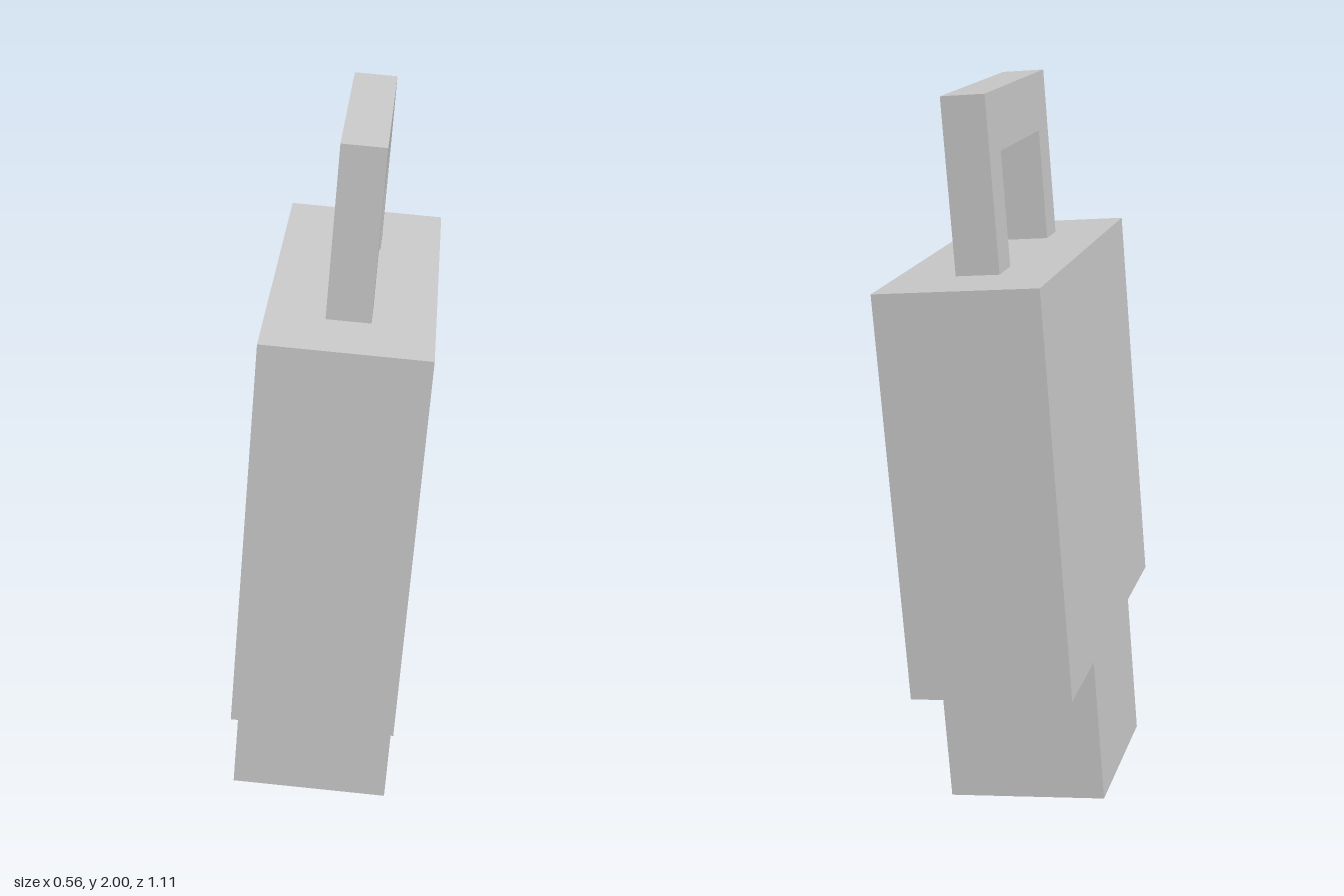
import * as THREE from 'three';

const material = new THREE.MeshStandardMaterial({ color: 0xcccccc, flatShading: true });

// Extrude a [z, y] outline across x, centred on x = 0
function slab(name, outline, width) {
  const shape = new THREE.Shape(outline.map(([z, y]) => new THREE.Vector2(z, y)));
  const geometry = new THREE.ExtrudeGeometry(shape, { depth: width, bevelEnabled: false });
  geometry.translate(0, 0, -width / 2);
  geometry.rotateY(-Math.PI / 2);
  const mesh = new THREE.Mesh(geometry, material);
  mesh.name = name;
  return mesh;
}

export function createModel() {
  const model = new THREE.Group();
  model.name = 'hangingBlock';

  // Everything leans slightly towards +x
  const leaning = new THREE.Group();
  leaning.name = 'leaningAssembly';
  leaning.position.set(-0.063, 0.018, 0);
  leaning.rotation.z = -0.081;
  model.add(leaning);

  // Wide body with a narrower foot below
  const body = slab('bodyWithFoot', [
    [-0.267, 0], [0.251, 0], [0.251, 0.408], [0.553, 0.408],
    [0.553, 1.512], [-0.553, 1.512], [-0.553, 0.408], [-0.267, 0.408],
  ], 0.443);

  // Square arch handle on top
  const handle = slab('handle', [
    [-0.338, 1.512], [-0.22, 1.512], [-0.22, 1.82], [0.229, 1.82],
    [0.229, 1.512], [0.341, 1.512], [0.341, 1.981], [-0.338, 1.981],
  ], 0.119);
  handle.position.x = -0.005;

  leaning.add(body, handle);
  return model;
}
